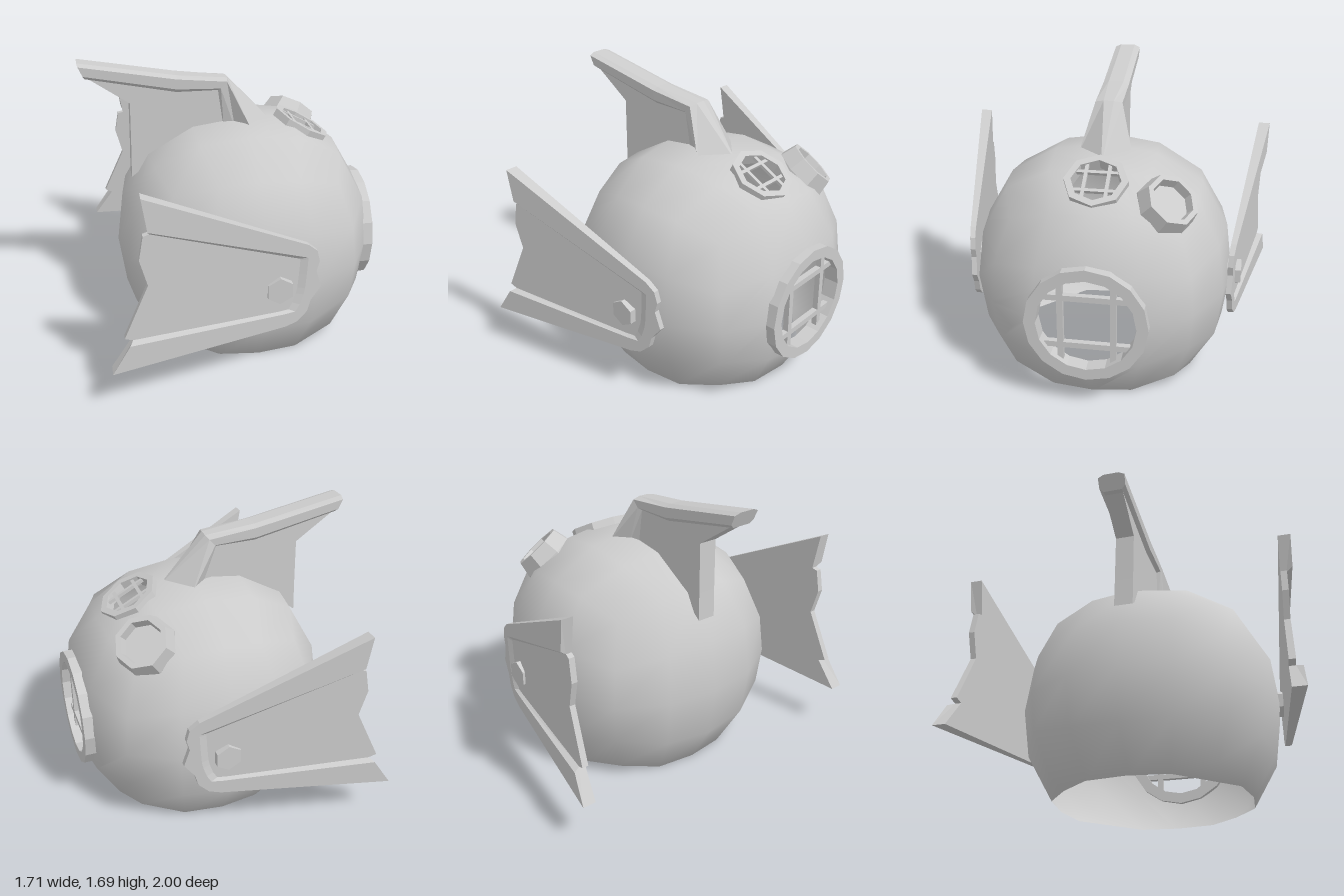
import * as THREE from 'three';
import { mergeVertices } from 'three/addons/utils/BufferGeometryUtils.js';

const V = (x, y, z) => new THREE.Vector3(x, y, z);
const flat = new THREE.MeshStandardMaterial({ color: 0xcccccc, flatShading: true });
const smooth = new THREE.MeshStandardMaterial({ color: 0xcccccc, side: THREE.DoubleSide });
const CENTRE = V(0.09, 0.55, 0);

function add(parent, name, geometry, material = flat) {
  const mesh = new THREE.Mesh(geometry, material);
  mesh.name = name;
  parent.add(mesh);
  return mesh;
}

// Solid through a row of closed cross-sections, capped at both ends
function loft(sections) {
  const n = sections[0].length, idx = [], last = (sections.length - 1) * n;
  for (let s = 0; s < sections.length - 1; s++) {
    for (let i = 0; i < n; i++) {
      const a = s * n + i, b = s * n + (i + 1) % n;
      idx.push(a, b, b + n, a, b + n, a + n);
    }
  }
  for (let i = 1; i < n - 1; i++) idx.push(0, i + 1, i, last, last + i, last + i + 1);
  const geo = new THREE.BufferGeometry().setFromPoints(sections.flat());
  geo.setIndex(idx);
  geo.computeVertexNormals();
  return geo;
}

function slab(points, z0, z1) {
  const shape = new THREE.Shape(points.map(([x, y]) => new THREE.Vector2(x, y)));
  const geo = new THREE.ExtrudeGeometry(shape, { depth: z1 - z0, bevelEnabled: false });
  return geo.translate(0, 0, z0);
}

// Lathe whose axis is +z
const turned = (profile, sides) => new THREE.LatheGeometry(
  profile.map(([r, h]) => new THREE.Vector2(r, h)), sides).rotateX(Math.PI / 2);

// Barred window: ring plus two bars each way, facing along dir
function barredWindow(name, pos, dir, sides, inner, outer, back, front, offset, bar) {
  const g = new THREE.Group();
  g.name = name;
  g.position.copy(pos);
  g.lookAt(pos.clone().add(dir));
  add(g, name + 'Ring', turned(
    [[outer, back], [outer, front], [inner, front], [inner, back], [outer, back]], sides));
  const length = 2 * Math.sqrt(inner * inner - offset * offset) + 0.02;
  for (const s of [-1, 1]) {
    add(g, name + 'UprightBar', new THREE.BoxGeometry(bar, length, bar)).position.x = s * offset;
    add(g, name + 'CrossBar', new THREE.BoxGeometry(length, bar, bar)).position.y = s * offset;
  }
  g.updateMatrixWorld(true);
  return g;
}

// Planes of a prism-shaped opening behind a window
function opening(win, sides, radius) {
  const planes = [], c = win.position;
  const plane = (dir, d) => {
    const n = dir.applyQuaternion(win.quaternion);
    planes.push(new THREE.Plane(n, -n.dot(c) - d));
  };
  for (let i = 0; i < sides; i++) {
    const a = (i + 0.5) / sides * Math.PI * 2;
    plane(V(Math.cos(a), Math.sin(a), 0), radius * Math.cos(Math.PI / sides));
  }
  plane(V(0, 0, -1), 0.3);
  return planes;
}

// Split a polygon of {p, n} corners into the parts behind and before a plane
function split(poly, plane) {
  const inside = [], outside = [];
  poly.forEach((a, i) => {
    const b = poly[(i + 1) % poly.length];
    const da = plane.distanceToPoint(a.p), db = plane.distanceToPoint(b.p);
    (da < 0 ? inside : outside).push(a);
    if (da < 0 !== db < 0) {
      const t = da / (da - db);
      const m = { p: a.p.clone().lerp(b.p, t), n: a.n.clone().lerp(b.n, t).normalize() };
      inside.push(m);
      outside.push(m);
    }
  });
  return [inside, outside];
}

// Rounded-cube sphere with the openings cut away
function hullGeometry(openings) {
  let geo = new THREE.BoxGeometry(2, 2, 2, 4, 4, 4);
  geo.deleteAttribute('normal');
  geo.deleteAttribute('uv');
  geo = mergeVertices(geo);
  const pos = geo.attributes.position, v = V();
  for (let i = 0; i < pos.count; i++) {
    v.fromBufferAttribute(pos, i);
    v.set(...v.toArray().map(c => Math.tan(c * Math.PI / 4))).normalize();
    v.multiplyScalar(0.85 - 0.08 * (v.x ** 4 + v.y ** 4 + v.z ** 4)).add(CENTRE);
    pos.setXYZ(i, v.x, v.y, v.z);
  }
  geo.computeVertexNormals();
  const corner = i => ({
    p: V().fromBufferAttribute(pos, i), n: V().fromBufferAttribute(geo.attributes.normal, i) });
  let polys = [];
  const ix = geo.index.array;
  for (let i = 0; i < ix.length; i += 3) polys.push([ix[i], ix[i + 1], ix[i + 2]].map(corner));
  for (const planes of openings) {
    const kept = [];
    for (const poly of polys) {
      let rest = poly;
      const parts = [];
      for (const plane of planes) {
        const [inside, outside] = split(rest, plane);
        if (outside.length > 2) parts.push(outside);
        rest = inside;
        if (rest.length < 3) break;
      }
      if (rest.length < 3) kept.push(poly); else kept.push(...parts);
    }
    polys = kept;
  }
  const tris = polys.flatMap(p => p.slice(2).flatMap((c, i) => [p[0], p[i + 1], c]));
  const out = new THREE.BufferGeometry().setFromPoints(tris.map(c => c.p));
  out.setAttribute('normal', new THREE.Float32BufferAttribute(tris.flatMap(c => c.n.toArray()), 3));
  return out;
}

// Crest: thick rim that flares where it meets the hull, over a thinner blade
function crest() {
  const g = new THREE.Group();
  g.name = 'topFin';
  const rows = [ // outer x, y, inner x, y, outer half width, shoulder half width, shoulder place
    [-0.855, 1.69, -0.825, 1.62, 0.045, 0.08, 0.2],
    [-0.3, 1.59, -0.3, 1.515, 0.045, 0.08, 0.2],
    [0, 1.555, -0.045, 1.505, 0.03, 0.08, 0.2],
    [0.25, 1.29, 0.04, 1.25, 0.005, 0.16, 0.6]];
  add(g, 'topFinRim', loft(rows.map(([ox, oy, ix, iy, w0, w1, m]) => {
    const at = (t, w) => V(ox + (ix - ox) * t, oy + (iy - oy) * t, w);
    const half = [at(0, w0), at(m, w1), at(1, 0.078), at(1.3, 0.055)];
    return [...half, ...half.map(p => V(p.x, p.y, -p.z)).reverse()];
  })));
  add(g, 'topFinBlade', slab([[-0.82, 1.615], [-0.57, 1.44], [-0.575, 1.15], [-0.58, 0.98],
    [-0.45, 1.08], [-0.2, 1.2], [0.05, 1.27], [-0.05, 1.5], [-0.3, 1.51]], -0.055, 0.055));
  return g;
}

// Side fin: C-shaped rim around a recessed panel, splayed outward to the rear
function sideFin(name, side) {
  const g = new THREE.Group();
  g.name = name;
  const rows = [ // outer edge x, y, inner edge x, y
    [-0.6, 1.27, -0.573, 1.08], [0.31, 0.83, 0.308, 0.752], [0.363, 0.783, 0.31, 0.74],
    [0.38, 0.715, 0.308, 0.7], [0.363, 0.655, 0.305, 0.65], [0.395, 0.55, 0.298, 0.56],
    [0.336, 0.473, 0.29, 0.52], [0.317, 0.404, 0.27, 0.46], [0.258, 0.349, 0.245, 0.418],
    [0.19, 0.331, 0.18, 0.415], [-0.79, 0.276, -0.69, 0.43]];
  const inset = (x, y) => [x + (-0.4 - x) * 0.06, y + (0.62 - y) * 0.06];
  const rim = loft(rows.map(([ox, oy, ix, iy]) => {
    const [bx, by] = inset(ix, iy);
    return [V(ox, oy, 1), V(ix, iy, 1), V(bx, by, 0.5), V(bx, by, 0), V(ox, oy, 0)];
  }));
  const back = [[-0.715, 0.459], [-0.58, 0.756], [-0.62, 0.91], [-0.596, 1.043]];
  const panel = slab([...rows.map(r => inset(r[2], r[3])), ...back], 0, 0.5);
  const place = (geo, splay) => {
    geo.deleteAttribute('normal');
    geo.deleteAttribute('uv');
    geo = mergeVertices(geo);
    const p = geo.attributes.position;
    for (let i = 0; i < p.count; i++) {
      const d = 0.39 - p.getX(i), t = p.getZ(i);
      p.setZ(i, side * (splay ? (0.745 + 0.15 * d) * (1 - t) + (0.775 + 0.19 * d) * t : t));
    }
    if (side < 0) geo.index.array.reverse();
    geo.computeVertexNormals();
    return geo;
  };
  add(g, name + 'Rim', place(rim, true));
  add(g, name + 'Panel', place(panel, true));
  const bolt = new THREE.CylinderGeometry(0.08, 0.08, 0.105, 6).rotateX(Math.PI / 2);
  add(g, name + 'Bolt', place(bolt.translate(0.15, 0.575, 0.775), false));
  return g;
}

export function createModel() {
  const model = new THREE.Group();
  model.name = 'divingHelmet';

  const visor = barredWindow('frontWindow', V(0.8, 0.54, 0), V(1, 0, 0),
    16, 0.28, 0.347, -0.04, 0.05, 0.148, 0.034);
  const up = V(0.478, 0.878, 0).normalize();
  const topWindow = barredWindow('topWindow', CENTRE.clone().addScaledVector(up, 0.775), up,
    8, 0.142, 0.182, -0.05, 0.02, 0.065, 0.02);

  // Neck, front and top openings
  const neck = [new THREE.Plane(V(0, 1, 0), 0)];
  add(model, 'hull', hullGeometry(
    [neck, opening(visor, 16, 0.31), opening(topWindow, 8, 0.16)]), smooth);
  model.add(visor, topWindow);

  // Octagonal side port
  const dir = V(0.488, 0.718, -0.494).normalize();
  const port = add(model, 'sidePort', turned([[0.165, 0.71], [0.178, 0.78], [0.155, 0.875],
    [0.125, 0.875], [0.115, 0.82], [0, 0.82]], 8));
  port.position.copy(CENTRE);
  port.lookAt(CENTRE.clone().add(dir));

  model.add(crest(), sideFin('rearSideFin', -1), sideFin('frontSideFin', 1));
  return model;
}
